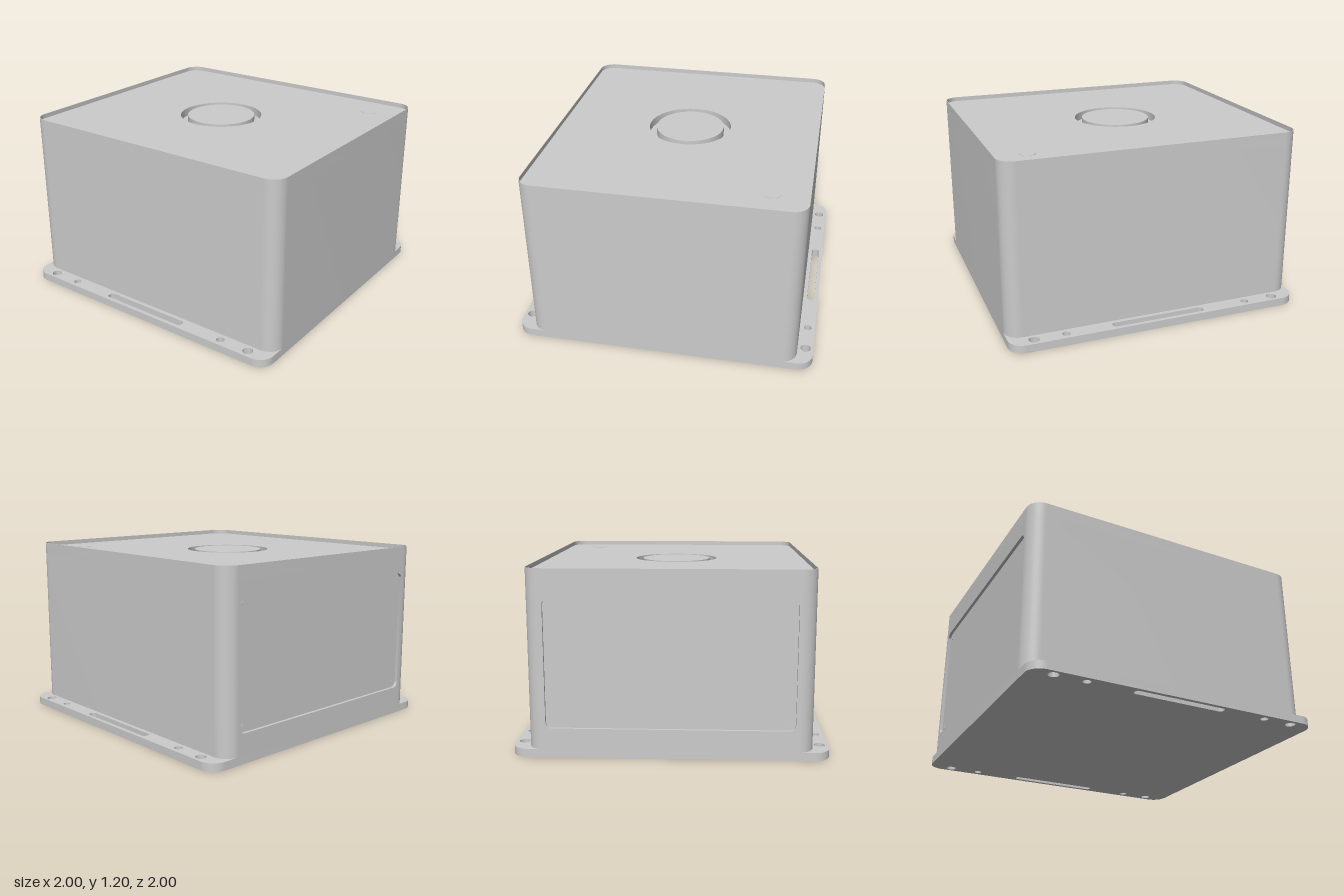
import * as THREE from 'three';
import { toCreasedNormals } from 'three/addons/utils/BufferGeometryUtils.js';

const material = new THREE.MeshStandardMaterial({ color: 0xcccccc });

// Rounded rectangle with half sizes w, h, traced onto a Shape or Path
function roundedRect(path, w, h, r, cx = 0, cy = 0) {
  path.moveTo(cx + w, cy - h + r);
  path.absarc(cx + w - r, cy + h - r, r, 0, Math.PI / 2, false);
  path.absarc(cx - w + r, cy + h - r, r, Math.PI / 2, Math.PI, false);
  path.absarc(cx - w + r, cy - h + r, r, Math.PI, Math.PI * 1.5, false);
  path.absarc(cx + w - r, cy - h + r, r, Math.PI * 1.5, Math.PI * 2, false);
  path.closePath();
  return path;
}

function circle(x, y, r) {
  return new THREE.Path().absarc(x, y, r, 0, Math.PI * 2, false);
}

function extrude(shape, depth) {
  return new THREE.ExtrudeGeometry(shape, { depth, bevelEnabled: false, curveSegments: 16 });
}

function addMesh(group, name, geometry) {
  const mesh = new THREE.Mesh(toCreasedNormals(geometry, 0.6), material);
  mesh.name = name;
  group.add(mesh);
  return mesh;
}

// Plan shapes use (x, -z) and rise from y0 to y1
function addUpright(group, name, shape, y0, y1) {
  const geometry = extrude(shape, y1 - y0).rotateX(-Math.PI / 2).translate(0, y0, 0);
  return addMesh(group, name, geometry);
}

export function createModel() {
  const model = new THREE.Group();
  model.name = 'mountedEnclosure';

  const W = 0.895, R = 0.1;
  const baseTop = 0.053, bodyTop = 1.11, lidTop = 1.165, rimTop = 1.195;
  const recess = 0.02, wall = 0.004;

  // Mounting plate with screw holes and long slots along both sides
  const plate = roundedRect(new THREE.Shape(), 1, 1, R);
  for (const side of [-1, 1]) {
    const x = side * 0.948;
    for (const end of [-1, 1]) {
      plate.holes.push(circle(x, end * 0.842, 0.034), circle(x, end * 0.632, 0.026));
    }
    plate.holes.push(roundedRect(new THREE.Path(), 0.026, 0.32, 0.022, x, 0));
  }
  addUpright(model, 'mountingPlate', plate, 0, baseTop);

  // Body with rounded corners, stepped in at the back behind the panel frame
  const flat = W - R;
  const body = new THREE.Shape();
  body.moveTo(W, -1 + R);
  body.absarc(flat, 1 - R, R, 0, Math.PI / 2, false);
  body.lineTo(flat, 1 - recess);
  body.lineTo(-flat, 1 - recess);
  body.lineTo(-flat, 1);
  body.absarc(-flat, 1 - R, R, Math.PI / 2, Math.PI, false);
  body.absarc(-flat, -1 + R, R, Math.PI, Math.PI * 1.5, false);
  body.absarc(flat, -1 + R, R, Math.PI * 1.5, Math.PI * 2, false);
  body.closePath();
  addUpright(model, 'body', body, baseTop, bodyTop);

  // Back wall frame around the sunken panel
  const midY = (baseTop + bodyTop) / 2, halfY = (bodyTop - baseTop) / 2;
  const frame = new THREE.Shape();
  frame.moveTo(-flat, midY - halfY);
  frame.lineTo(flat, midY - halfY);
  frame.lineTo(flat, midY + halfY);
  frame.lineTo(-flat, midY + halfY);
  frame.closePath();
  frame.holes.push(roundedRect(new THREE.Path(), 0.78, 0.41, 0.04, 0, 0.6));
  addMesh(model, 'backFrame', extrude(frame, recess).translate(0, 0, -1));

  // Panel screws at its four corners
  for (const sx of [-1, 1]) {
    for (const sy of [-1, 1]) {
      const screw = new THREE.CylinderGeometry(0.012, 0.012, 0.006, 16).rotateX(Math.PI / 2);
      addMesh(model, 'panelScrew', screw).position.set(sx * 0.74, 0.6 + sy * 0.37, -1 + recess);
    }
  }

  // Thin rim standing above the lid
  const rim = roundedRect(new THREE.Shape(), W, 1, R);
  rim.holes.push(roundedRect(new THREE.Path(), W - wall, 1 - wall, R - wall));
  addUpright(model, 'topRim', rim, bodyTop, rimTop);

  // Lid with a circular groove around a centre disc
  const dialZ = -0.055;
  const lid = roundedRect(new THREE.Shape(), W - wall, 1 - wall, R - wall);
  lid.holes.push(circle(0, -dialZ, 0.285));
  addUpright(model, 'lid', lid, bodyTop, lidTop);

  const height = lidTop - bodyTop;
  const disc = new THREE.CylinderGeometry(0.235, 0.235, height, 64);
  addMesh(model, 'centreDisc', disc).position.set(0, bodyTop + height / 2, dialZ);

  // Small round indicator, nearly flush with the lid
  const indicator = new THREE.CylinderGeometry(0.052, 0.052, 0.004, 32);
  addMesh(model, 'indicator', indicator).position.set(0.665, lidTop, 0.77);

  return model;
}
